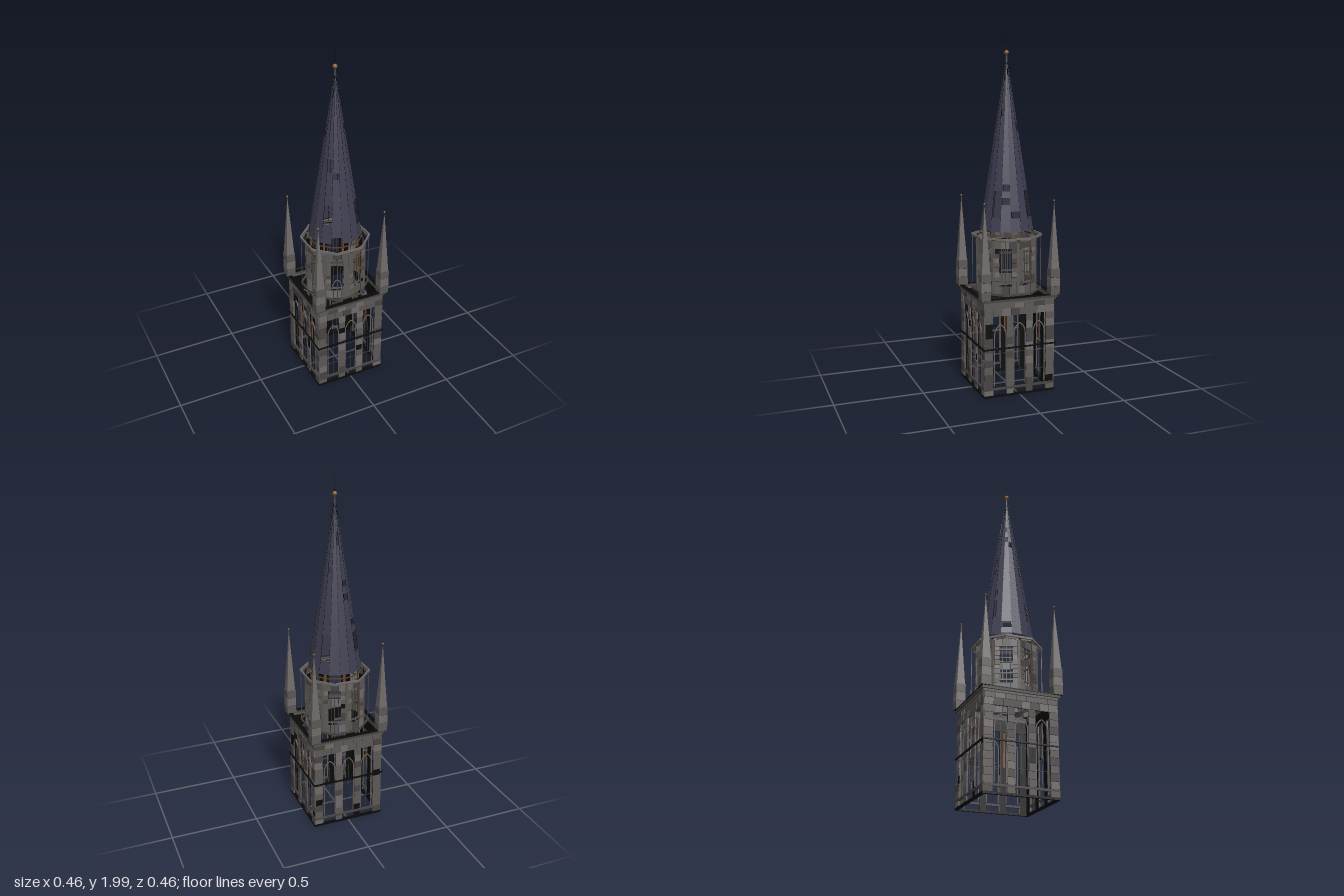
import * as THREE from 'three';

const mat = (name, color, side = THREE.FrontSide) => {
  const m = new THREE.MeshStandardMaterial({ color, side });
  m.name = name;
  return m;
};
const stone = mat('stone', 0x5b5755);
const paleStone = mat('pale stone', 0x6e6a68);
const darkStone = mat('dark stone', 0x474341);
const iron = mat('black iron', 0x0a0a0a);
const slate = mat('slate', 0x3d3d50, THREE.DoubleSide);
const copper = mat('copper', 0x8a5a30);
const timber = mat('timber', 0x7a4a26);
const oldTimber = mat('weathered timber', 0x4f4030);
const shades = [stone, darkStone, stone, stone, paleStone];

let seed = 11;
const rand = () => (seed = (seed * 16807) % 2147483647) / 2147483647;

function add(parent, name, geo, material, x = 0, y = 0, z = 0) {
  const mesh = new THREE.Mesh(geo, material);
  mesh.name = name;
  mesh.position.set(x, y, z);
  parent.add(mesh);
  return mesh;
}
const box = (parent, name, material, w, h, d, x, y, z) =>
  add(parent, name, new THREE.BoxGeometry(w, h, d), material, x, y, z);

function group(parent, name, angle = 0) {
  const g = new THREE.Group();
  g.name = name;
  g.rotation.y = angle;
  parent.add(g);
  return g;
}

// Column of stacked blocks whose widths alternate slightly; some may be missing
function pier(parent, name, x, z, w, d, y0, y1, n, missing = 0) {
  const h = (y1 - y0) / n;
  for (let i = 0; i < n; i++) {
    const k = i % 2 ? 0.94 : 1;
    const shade = shades[Math.floor(rand() * shades.length)];
    if (rand() < missing) continue;
    box(parent, name, shade, w * k, h - 0.002, d, x, y0 + (i + 0.5) * h, z);
  }
}

// Horizontal course of blocks
function course(parent, name, w, h, d, y, z, n) {
  for (let i = 0; i < n; i++) {
    const shade = shades[Math.floor(rand() * shades.length)];
    box(parent, name, shade, w / n - 0.002, h - 0.002, d, (i + 0.5) * w / n - w / 2, y, z);
  }
}

// Pointed window frame, swept along a lancet outline
function lancet(parent, x, z) {
  const w = 0.034, spring = 0.355, pts = [[-w, 0.06], [-w, 0.2], [-w, spring]];
  for (let i = 1; i <= 4; i++) {
    const a = i * Math.PI / 12;
    pts.push([w - 2 * w * Math.cos(a), spring + 2 * w * Math.sin(a)]);
  }
  for (let i = 5; i >= 0; i--) pts.push([-pts[i][0], pts[i][1]]);
  const path = new THREE.CurvePath();
  for (let i = 1; i < pts.length; i++) {
    path.add(new THREE.LineCurve3(new THREE.Vector3(...pts[i - 1], 0), new THREE.Vector3(...pts[i], 0)));
  }
  add(parent, 'windowFrame', new THREE.TubeGeometry(path, 48, 0.0035, 4), paleStone, x, 0, z);
  box(parent, 'mullion', darkStone, 0.002, 0.32, 0.002, x, 0.21, z);
  box(parent, 'windowBar', darkStone, 0.066, 0.002, 0.002, x, 0.14, z);
  box(parent, 'windowBar', darkStone, 0.066, 0.002, 0.002, x, 0.25, z);
}

// Ring of straight sides with a rectangular section
function polyRing(parent, name, material, apothem, sides, h, d, y) {
  const w = 2 * apothem * Math.tan(Math.PI / sides);
  for (let i = 0; i < sides; i++) {
    const g = group(parent, name, i * 2 * Math.PI / sides);
    box(g, name + 'Side', material, w, h, d, 0, y, apothem - d / 2);
  }
}

// Open square belfry stage: thin stone facing over black cores
function lowerStage(root) {
  const stage = group(root, 'lowerStage');
  for (let s = 0; s < 4; s++) {
    const wall = group(stage, 'lowerWall', s * Math.PI / 2);
    box(wall, 'baseRail', iron, 0.42, 0.012, 0.014, 0, 0.006, 0.203);
    box(wall, 'sillRail', darkStone, 0.41, 0.012, 0.01, 0, 0.047, 0.204);
    for (const [x, w] of [[-0.182, 0.05], [-0.058, 0.04], [0.058, 0.04], [0.182, 0.05]]) {
      pier(wall, 'pierBlocks', x, 0.205, w, 0.007, 0.012, 0.46, 11, 0.04);
      box(wall, 'pierCore', iron, w * 0.92, 0.448, 0.004, x, 0.236, 0.1995);
    }
    for (const x of [-0.058, 0.058]) {
      box(wall, 'timberBrace', timber, 0.01, 0.2, 0.004, x, 0.35, 0.182);
    }
    for (const x of [-0.114, 0, 0.114]) lancet(wall, x, 0.204);
    box(wall, 'transomRail', iron, 0.43, 0.008, 0.009, 0, 0.277, 0.21);
    course(wall, 'wallBand', 0.41, 0.04, 0.008, 0.48, 0.2045, 8);
    course(wall, 'wallBand', 0.41, 0.03, 0.008, 0.515, 0.2045, 7);
    box(wall, 'wallBandCore', iron, 0.398, 0.068, 0.003, 0, 0.495, 0.199);
    box(wall, 'cornice', stone, 0.424, 0.012, 0.012, 0, 0.536, 0.206);
    box(wall, 'corniceCap', darkStone, 0.44, 0.014, 0.02, 0, 0.549, 0.21);
    box(wall, 'gutter', iron, 0.444, 0.005, 0.022, 0, 0.5585, 0.211);
  }
}

// Corner pinnacles: block base, steep pyramid and finial
function pinnacle(root, x, z) {
  const p = group(root, 'pinnacle');
  p.position.set(x, 0, z);
  for (let i = 0; i < 3; i++) {
    box(p, 'pinnacleBlock', i === 1 ? paleStone : stone, 0.054, 0.048, 0.054, 0, 0.582 + i * 0.05, 0);
  }
  box(p, 'pinnacleJoints', iron, 0.05, 0.148, 0.05, 0, 0.631, 0);
  const spire = new THREE.ConeGeometry(0.024 * Math.SQRT2, 0.375, 4).toNonIndexed();
  spire.rotateY(Math.PI / 4);
  spire.computeVertexNormals();
  add(p, 'pinnacleSpire', spire, paleStone, 0, 0.8935, 0);
  add(p, 'pinnacleFinial', new THREE.SphereGeometry(0.006, 10, 8), copper, 0, 1.085, 0);
}

// Eight-sided lantern with piers on the axes and windows between them
function lantern(root) {
  const l = group(root, 'lantern');
  const face = 0.166, step = Math.PI / 4;
  for (let i = 0; i < 8; i++) {
    const wall = group(l, 'lanternWall', (i + 0.5) * step);
    course(wall, 'lanternBase', 0.136, 0.05, 0.006, 0.587, face, 3);
    course(wall, 'lanternHead', 0.136, 0.045, 0.006, 0.845, face, 3);
    box(wall, 'lanternCap', iron, 0.136, 0.003, 0.007, 0, 0.869, face);
    for (const s of [-1, 1]) {
      pier(wall, 'lanternPier', s * 0.052, face, 0.035, 0.006, 0.612, 0.822, 8, 0.03);
      box(wall, 'lanternPierCore', iron, 0.03, 0.21, 0.002, s * 0.051, 0.717, face - 0.004);
    }
    box(wall, 'lanternSill', stone, 0.07, 0.008, 0.006, 0, 0.63, face);
    box(wall, 'lanternLintel', darkStone, 0.07, 0.01, 0.006, 0, 0.803, face);
    for (const x of [-0.02, 0.02]) {
      box(wall, 'lanternJamb', darkStone, 0.003, 0.17, 0.004, x, 0.717, face);
    }
    box(wall, 'lanternMullion', darkStone, 0.003, 0.17, 0.003, 0, 0.717, face);
    box(wall, 'cagePost', darkStone, 0.004, 0.31, 0.004, 0, 0.715, 0.194);
    const axis = group(l, 'lanternCorner', i * step);
    box(axis, 'timberPost', timber, 0.012, 0.24, 0.006, 0, 0.72, 0.147);
    box(axis, 'buttress', stone, 0.016, 0.29, 0.008, 0, 0.712, 0.178);
  }
  polyRing(l, 'lanternFoot', darkStone, 0.185, 8, 0.012, 0.007, 0.566);
  polyRing(l, 'parapet', paleStone, 0.186, 8, 0.012, 0.008, 0.877);
  polyRing(l, 'parapetInner', stone, 0.177, 8, 0.01, 0.004, 0.867);
}

// Slate rows on sixteen facets, lapped row over row, with missing slates
function slateCone() {
  const sides = 16, rows = 26, y0 = 0.912, y1 = 1.88, r0 = 0.152;
  const pos = [];
  const ring = (t, a, lap) => {
    const r = r0 * (1 - t) + lap;
    return [r * Math.sin(a), y0 + (y1 - y0) * t, r * Math.cos(a)];
  };
  for (let j = 0; j < rows; j++) {
    for (let i = 0; i < sides; i++) {
      const opening = i % 4 === 2 && j >= 3 && j <= 5;
      if (opening || rand() < 0.07) continue;
      const a = (i - 0.5) * 2 * Math.PI / sides, b = a + 2 * Math.PI / sides;
      const t = j / rows, u = (j + 1) / rows;
      const A = ring(t, a, 0.001), B = ring(t, b, 0.001), C = ring(u, b, 0), D = ring(u, a, 0);
      pos.push(...A, ...B, ...C, ...A, ...C, ...D);
    }
  }
  const g = new THREE.BufferGeometry();
  g.setAttribute('position', new THREE.Float32BufferAttribute(pos, 3));
  g.computeVertexNormals();
  return g;
}

function spire(root) {
  const s = group(root, 'spire');
  add(s, 'slateRoof', slateCone(), slate);
  polyRing(s, 'eavesRing', oldTimber, 0.154, 16, 0.006, 0.005, 0.892);
  // Ribs along the facet edges
  const len = Math.hypot(0.985, 0.154);
  for (let i = 0; i < 16; i++) {
    const rib = group(s, 'roofRib', (i + 0.5) * Math.PI / 8);
    const bar = box(rib, 'roofRibBar', iron, 0.002, len, 0.002, 0, 1.3875, 0.077);
    bar.rotation.x = -Math.atan2(0.154, 0.985);
  }
  add(s, 'finialCollar', new THREE.CylinderGeometry(0.003, 0.008, 0.05, 10), slate, 0, 1.86, 0);
  add(s, 'finialBall', new THREE.SphereGeometry(0.013, 16, 12), copper, 0, 1.89, 0);
  add(s, 'finialNeedle', new THREE.CylinderGeometry(0.0012, 0.003, 0.09, 8), iron, 0, 1.94, 0);
}

export function createModel() {
  const root = new THREE.Group();
  root.name = 'churchTower';
  lowerStage(root);
  for (const x of [-0.203, 0.203]) for (const z of [-0.203, 0.203]) pinnacle(root, x, z);
  lantern(root);
  spire(root);
  return root;
}
